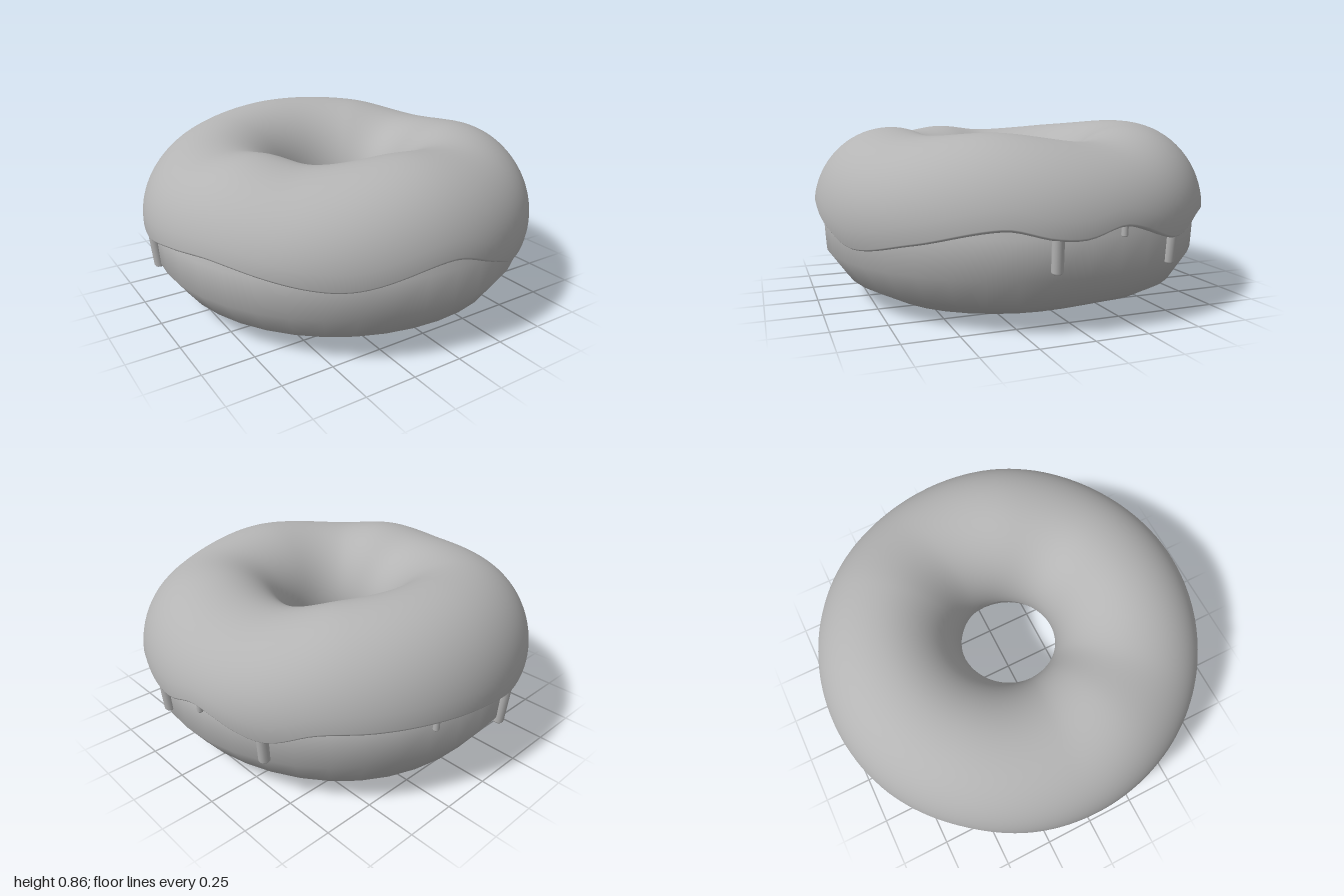
import * as THREE from 'three';

const RING = 0.61, MID = 0.44, RAD = Math.PI / 180;

// Smooth periodic interpolation of [degrees, value] pairs (ascending)
function periodic(table) {
  const n = table.length;
  const at = (i) => {
    const k = ((i % n) + n) % n;
    return [table[k][0] + 360 * Math.floor(i / n), table[k][1]];
  };
  return (theta) => {
    let d = (((theta / RAD) % 360) + 360) % 360;
    if (d < table[0][0]) d += 360;
    let i = n - 1;
    while (table[i][0] > d) i--;
    const [p0, p1, p2, p3] = [at(i - 1), at(i), at(i + 1), at(i + 2)];
    const w = p2[0] - p1[0], t = (d - p1[0]) / w;
    const m1 = w * (p2[1] - p0[1]) / (p2[0] - p0[0]);
    const m2 = w * (p3[1] - p1[1]) / (p3[0] - p1[0]);
    const t2 = t * t, t3 = t2 * t;
    return (2 * t3 - 3 * t2 + 1) * p1[1] + (t3 - 2 * t2 + t) * m1
      + (3 * t2 - 2 * t3) * p2[1] + (t3 - t2) * m2;
  };
}

// Angles run from +x towards +z
const topHeight = periodic([[25, 0.83], [60, 0.812], [95, 0.84], [135, 0.8], [160, 0.825],
  [185, 0.8], [228, 0.835], [270, 0.865], [310, 0.845], [343, 0.785]]);
const outerEdge = periodic([[2, 0.415], [10, 0.42], [22, 0.46], [44, 0.385], [65, 0.325], [78, 0.4],
  [93, 0.48], [117, 0.4], [127, 0.4], [154, 0.47], [170, 0.45], [189, 0.405], [217, 0.49],
  [235, 0.47], [257, 0.395], [270, 0.42], [287, 0.44], [305, 0.445], [318, 0.44], [332, 0.37], [351, 0.46]]);
const innerEdge = periodic([[0, 0.39], [60, 0.36], [120, 0.4], [180, 0.37], [235, 0.35], [280, 0.35], [320, 0.4]]);
const underside = periodic([[20, 0], [60, -0.01], [95, 0.005], [130, 0], [180, 0.005], [225, -0.01],
  [262, 0.01], [303, -0.038], [345, 0.01]]);

// Sweeps a cross-section point(theta, row) -> [r, y] around the y axis
function sweep(rows, segments, closed, point) {
  const pos = [], index = [];
  for (let j = 0; j < segments; j++) {
    const th = (j / segments) * Math.PI * 2;
    for (let i = 0; i < rows; i++) {
      const [r, y] = point(th, i);
      pos.push(r * Math.cos(th), y, r * Math.sin(th));
    }
  }
  for (let j = 0; j < segments; j++) {
    for (let i = 0; i < (closed ? rows : rows - 1); i++) {
      const a = j * rows + i, b = j * rows + (i + 1) % rows;
      const k = ((j + 1) % segments) * rows;
      const c = k + i, d = k + (i + 1) % rows;
      index.push(a, b, c, b, d, c);
    }
  }
  const geo = new THREE.BufferGeometry();
  geo.setAttribute('position', new THREE.Float32BufferAttribute(pos, 3));
  geo.setIndex(index);
  geo.computeVertexNormals();
  return geo;
}

// Point on the icing's cross-section; s shrinks it towards the core
function icingPoint(th, angle, s) {
  const c = Math.cos(angle), v = Math.sin(angle);
  const up = v > 0 ? topHeight(th) - MID : 0.39;
  return [RING + c * s * (c > 0 ? 0.385 : 0.36), MID + v * s * up];
}

export function createModel() {
  const group = new THREE.Group();
  const grey = new THREE.MeshStandardMaterial({ color: 0xb4b4b4 });
  grey.name = 'plainGrey';
  const add = (name, geo, parent = group) => {
    const mesh = new THREE.Mesh(geo, grey);
    mesh.name = name;
    parent.add(mesh);
    return mesh;
  };

  // Dough: a slightly faceted ring with a lumpy flat base
  const dough = [[0.955, 0.42], [0.86, 0.64], [0.61, 0.74], [0.37, 0.64], [0.282, 0.42], [0.31, 0.24],
    [0.41, 0.11], [0.54, 0.042], [0.69, 0.038], [0.85, 0.115], [0.945, 0.25]];
  add('dough', sweep(dough.length, 40, true, (th, i) => {
    const [r, y] = dough[i];
    return [r, y < 0.2 ? y + underside(th) * (y < 0.1 ? 1 : 0.4) : y];
  }));

  // Icing: a shell over the top with a rounded lip along both wavy edges
  const LIP = 6, SPAN = 36, rows = 2 * LIP + SPAN;
  const edgeAngle = (y, th) => Math.asin((y - MID) / (y > MID ? topHeight(th) - MID : 0.39));
  add('icing', sweep(rows, 160, false, (th, i) => {
    const start = edgeAngle(outerEdge(th), th);
    const end = Math.PI - edgeAngle(innerEdge(th), th);
    const lip = Math.min(i, rows - 1 - i);
    if (lip < LIP) {
      const t = (Math.max(lip - 1, 0) / (LIP - 1)) * Math.PI / 2;
      const s = lip === 0 ? 0.86 : 0.955 + 0.045 * Math.sin(t);
      const a = 0.05 * (1 - Math.cos(t));
      return icingPoint(th, i < LIP ? start + a : end - a, s);
    }
    const f = (i - LIP + 1) / (SPAN + 1);
    return icingPoint(th, start + 0.05 + f * (end - start - 0.1), 1);
  }));

  // Drips hanging from the edges: [degrees, bottom y, thickness, inner side?]
  const drips = new THREE.Group();
  drips.name = 'drips';
  group.add(drips);
  const list = [[9, 0.28, 0.026], [351, 0.415, 0.015], [332, 0.255, 0.027], [189, 0.235, 0.026],
    [258, 0.21, 0.027], [287, 0.39, 0.015], [233, 0.28, 0.022, true], [278, 0.27, 0.025, true]];
  for (const [deg, bottom, size, inside] of list) {
    const th = deg * RAD;
    const top = (inside ? innerEdge(th) : outerEdge(th)) + 0.03;
    const radius = (y) => (inside ? 0.272 + Math.max(0, 0.4 - y) * 0.1 : 0.963 - Math.max(0, 0.42 - y) * 0.1);
    const spot = (y) => new THREE.Vector3(radius(y) * Math.cos(th), y, radius(y) * Math.sin(th));
    const a = spot(bottom), b = spot(top);
    const r = size;
    const profile = [[0, 0], [r * 0.8, 0], [r, r * 0.3], [r, a.distanceTo(b)]].map((p) => new THREE.Vector2(...p));
    const drip = add('drip', new THREE.LatheGeometry(profile, 14), drips);
    drip.position.copy(a);
    drip.quaternion.setFromUnitVectors(new THREE.Vector3(0, 1, 0), b.sub(a).normalize());
  }
  return group;
}
